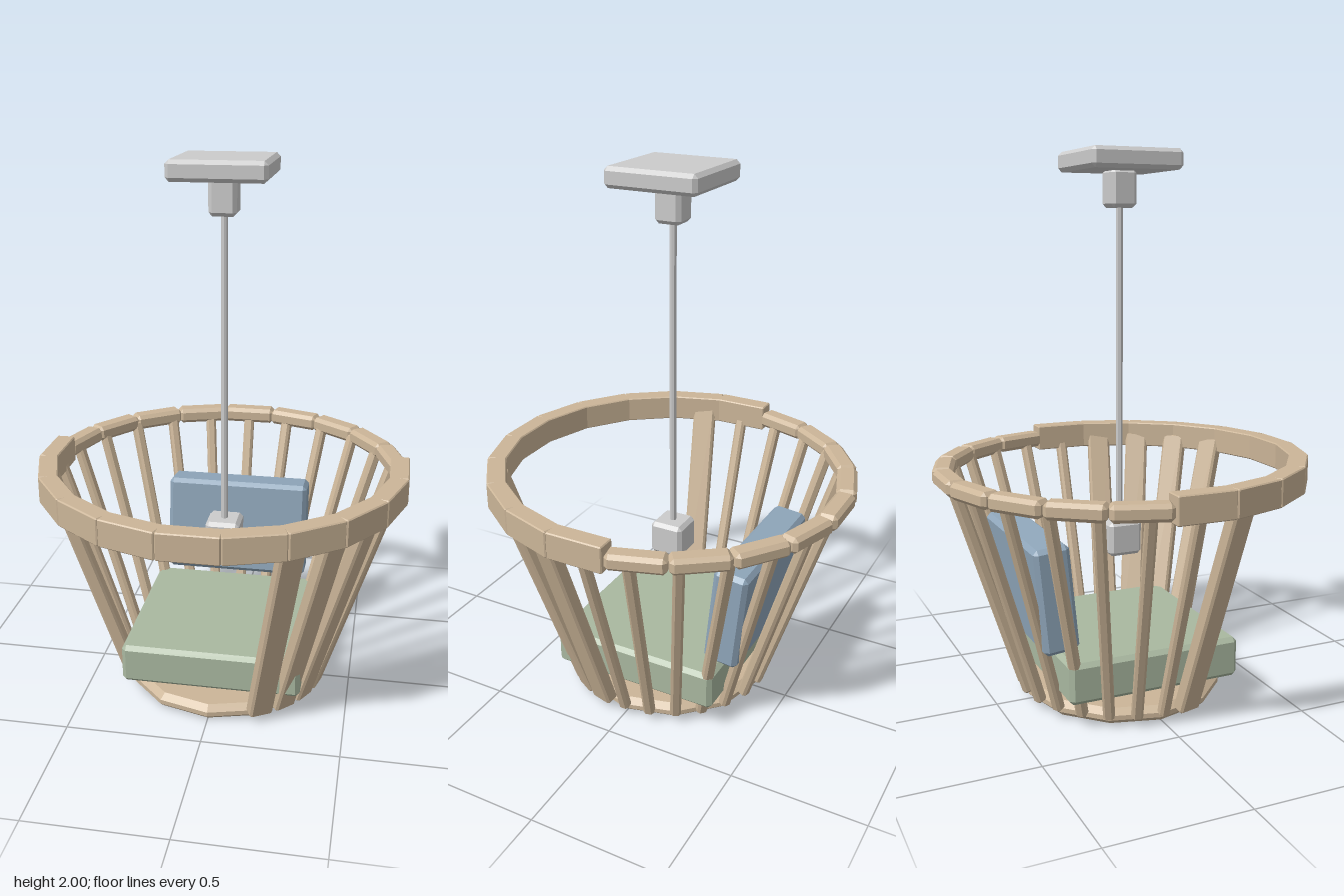
import * as THREE from 'three';
import { ConvexGeometry } from 'three/addons/geometries/ConvexGeometry.js';

const paint = (color) => new THREE.MeshStandardMaterial({ color, flatShading: true });

// Box with every edge and corner chamfered by c
function chamferBox(w, h, d, c) {
  const points = [];
  for (const sx of [-1, 1]) for (const sy of [-1, 1]) for (const sz of [-1, 1]) {
    const x = w / 2, y = h / 2, z = d / 2;
    points.push(
      new THREE.Vector3(sx * x, sy * (y - c), sz * (z - c)),
      new THREE.Vector3(sx * (x - c), sy * y, sz * (z - c)),
      new THREE.Vector3(sx * (x - c), sy * (y - c), sz * z));
  }
  return new ConvexGeometry(points);
}

function add(parent, name, geometry, material, x = 0, y = 0, z = 0) {
  const mesh = new THREE.Mesh(geometry, material);
  mesh.name = name;
  mesh.position.set(x, y, z);
  parent.add(mesh);
  return mesh;
}

export function createModel() {
  const model = new THREE.Group();
  model.name = 'hangingBasketChair';
  const wood = paint(0xcbb598), green = paint(0xa9b8a0);
  const blue = paint(0x8fa6ba), grey = paint(0xcccccc);

  // Twelve-sided base with a bevelled edge
  const profile = [[0, 0], [0.355, 0], [0.375, 0.018], [0.375, 0.035], [0.35, 0.055], [0, 0.055]];
  add(model, 'base', new THREE.LatheGeometry(profile.map(([r, y]) => new THREE.Vector2(r, y)), 12), wood);

  // Rim: deep boards around the front half, slimmer ones around the back
  const rim = new THREE.Group();
  rim.name = 'rim';
  model.add(rim);
  const deepBoard = chamferBox(0.07, 0.1, 0.214, 0.004);
  const slimBoard = chamferBox(0.075, 0.06, 0.208, 0.014);
  for (let i = 0; i < 20; i++) {
    const a = i * Math.PI / 10;
    const deep = Math.sin(a) > -0.05;
    const r = deep ? 0.65 : 0.652;
    const board = add(rim, deep ? 'frontRimBoard' : 'backRimBoard', deep ? deepBoard : slimBoard, wood,
      r * Math.cos(a), deep ? 0.86 : 0.855, r * Math.sin(a));
    board.rotation.y = -a;
  }

  // Leaning slats, every 15 degrees, leaving the entrance open
  const slats = new THREE.Group();
  slats.name = 'slats';
  model.add(slats);
  const low = new THREE.Vector2(0.375, 0.03), high = new THREE.Vector2(0.645, 0.86);
  const length = low.distanceTo(high);
  const lean = -Math.atan2(high.x - low.x, high.y - low.y);
  const thin = chamferBox(0.04, length, 0.04, 0.009);
  const wide = chamferBox(0.05, length, 0.09, 0.008);
  for (let degrees = -180; degrees <= 165; degrees += 15) {
    if (degrees > 60 && degrees < 165) continue;
    const holder = new THREE.Group();
    holder.name = degrees > 0 ? 'wideSlat' : 'thinSlat';
    holder.rotation.y = -THREE.MathUtils.degToRad(degrees);
    slats.add(holder);
    add(holder, 'slat', degrees > 0 ? wide : thin, wood,
      (low.x + high.x) / 2, (low.y + high.y) / 2, 0).rotation.z = lean;
  }

  // Cushions
  add(model, 'seatCushion', chamferBox(0.67, 0.15, 0.66, 0.016), green, 0, 0.175, -0.005);
  add(model, 'backCushion', chamferBox(0.57, 0.387, 0.132, 0.016), blue, 0, 0.47, -0.36).rotation.x = -0.1;

  // Hanging rod with its ceiling plate, collar and lower block
  add(model, 'ceilingPlate', chamferBox(0.345, 0.072, 0.345, 0.014), grey, 0, 1.964, -0.005);
  add(model, 'collar', chamferBox(0.1, 0.135, 0.1, 0.014), grey, 0, 1.868, -0.005);
  add(model, 'rod', new THREE.CylinderGeometry(0.013, 0.013, 1.25, 8), grey, 0, 1.215, -0.005);
  add(model, 'lowerBlock', chamferBox(0.13, 0.13, 0.13, 0.014), grey, 0, 0.592, -0.005);

  return model;
}
